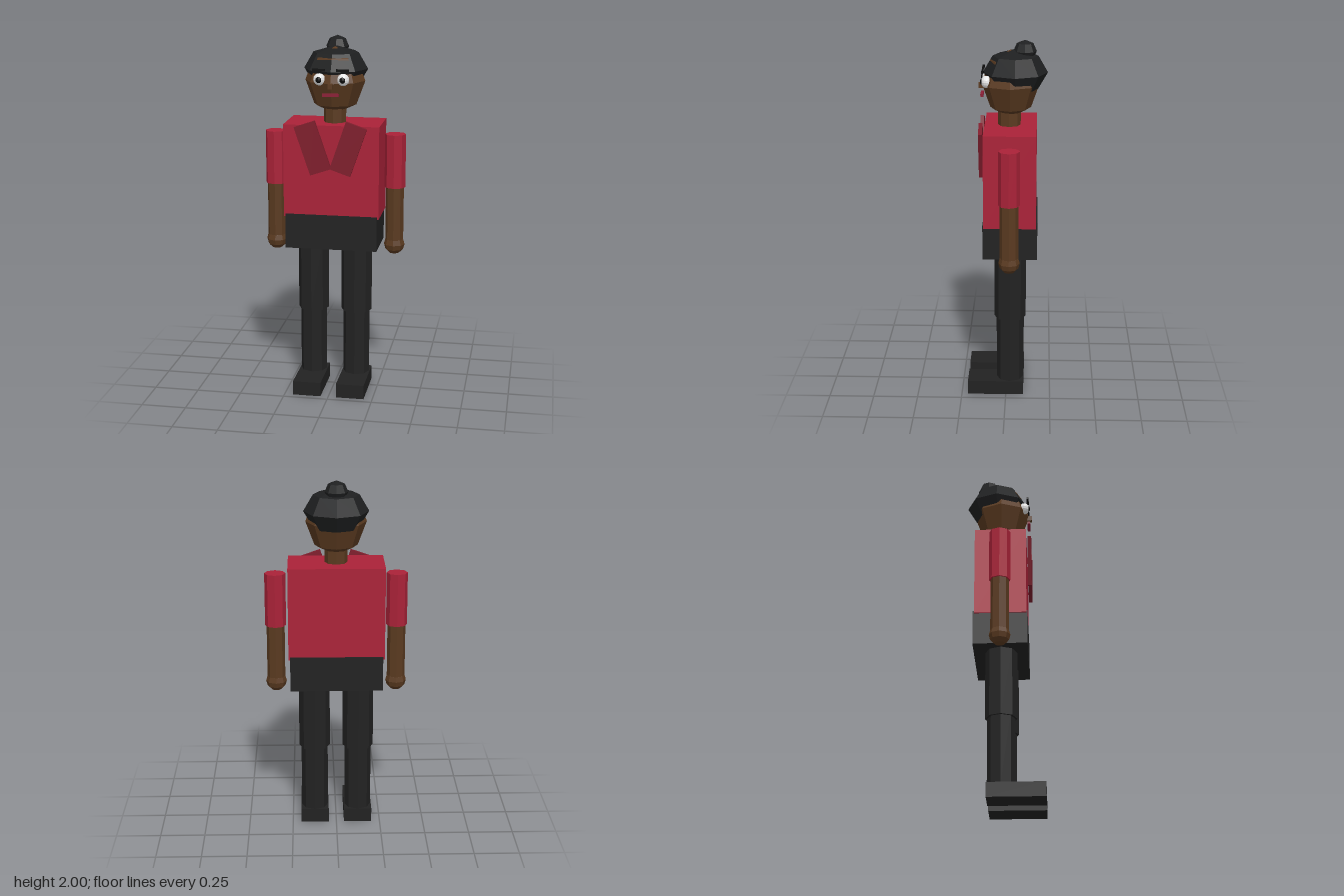
import * as THREE from 'three';

const flat = (name, color) => {
  const m = new THREE.MeshStandardMaterial({ color, flatShading: true });
  m.name = name;
  return m;
};

export function createModel() {
  const model = new THREE.Group();
  model.name = 'standingFigure';

  const red = flat('topRed', 0xaa2238);
  const darkRed = flat('lapelRed', 0x7f1d2c);
  const black = flat('trouserBlack', 0x222222);
  const hairBlack = flat('hairBlack', 0x1e1f20);
  const skin = flat('skinBrown', 0x5a3a20);
  const white = flat('eyeWhite', 0xf2f2f2);
  const pupilBlack = flat('pupilBlack', 0x0c0c0c);
  const lip = flat('lipRed', 0x8c1f36);

  const add = (name, geometry, material, x, y, z) => {
    const mesh = new THREE.Mesh(geometry, material);
    mesh.name = name;
    mesh.position.set(x, y, z);
    model.add(mesh);
    return mesh;
  };
  // Box given by its bottom, top, back and front
  const box = (name, mat, x, w, y0, y1, z0, z1) =>
    add(name, new THREE.BoxGeometry(w, y1 - y0, z1 - z0), mat, x, (y0 + y1) / 2, (z0 + z1) / 2);
  // Eight-sided upright post
  const post = (name, mat, x, r, y0, y1, z = -0.022) =>
    add(name, new THREE.CylinderGeometry(r, r, y1 - y0, 8), mat, x, (y0 + y1) / 2, z);
  // Faceted ball with separate radii
  const ball = (name, mat, [x, y, z], [rx, ry, rz], w = 8, h = 4) =>
    add(name, new THREE.SphereGeometry(1, w, h).scale(rx, ry, rz), mat, x, y, z);

  // Body
  box('hips', black, 0, 0.51, 0.84, 1.035, -0.172, 0.125);
  box('torso', red, 0, 0.528, 1.02, 1.535, -0.165, 0.12);
  post('neck', skin, 0, 0.062, 1.52, 1.66, -0.015);

  // Head, hair and bun
  ball('head', skin, [0, 1.763, -0.022], [0.166, 0.184, 0.157]);
  ball('hair', hairBlack, [0, 1.825, -0.048], [0.177, 0.126, 0.175]);
  ball('hairBun', hairBlack, [0, 1.94, -0.099], [0.063, 0.06, 0.063]);

  // Face centre
  box('nose', skin, 0, 0.024, 1.738, 1.766, 0.11, 0.152);
  box('mouth', lip, 0, 0.09, 1.696, 1.712, 0.125, 0.141);

  for (const s of [-1, 1]) {
    // Eyes and brows
    ball('eye', white, [s * 0.065, 1.784, 0.107], [0.033, 0.033, 0.03], 12, 8);
    ball('pupil', pupilBlack, [s * 0.065, 1.784, 0.131], [0.017, 0.017, 0.011], 8, 6);
    box('eyebrow', pupilBlack, s * 0.065, 0.07, 1.831, 1.843, 0.122, 0.134);

    // Lapels
    const lapel = box('lapel', darkRed, s * 0.098, 0.12, 1.274, 1.552, 0.127, 0.148);
    lapel.rotation.z = -s * 0.33;

    // Arms
    post('sleeve', red, s * 0.335, 0.058, 1.178, 1.475);
    post('forearm', skin, s * 0.335, 0.05, 0.87, 1.19);
    ball('hand', skin, [s * 0.335, 0.85, -0.022], [0.058, 0.057, 0.058], 8, 6);

    // Legs
    post('thigh', black, s * 0.123, 0.087, 0.455, 0.85);
    post('shin', black, s * 0.123, 0.075, 0.07, 0.47);
    box('shoe', black, s * 0.123, 0.158, 0, 0.08, -0.098, 0.215);
  }

  return model;
}
